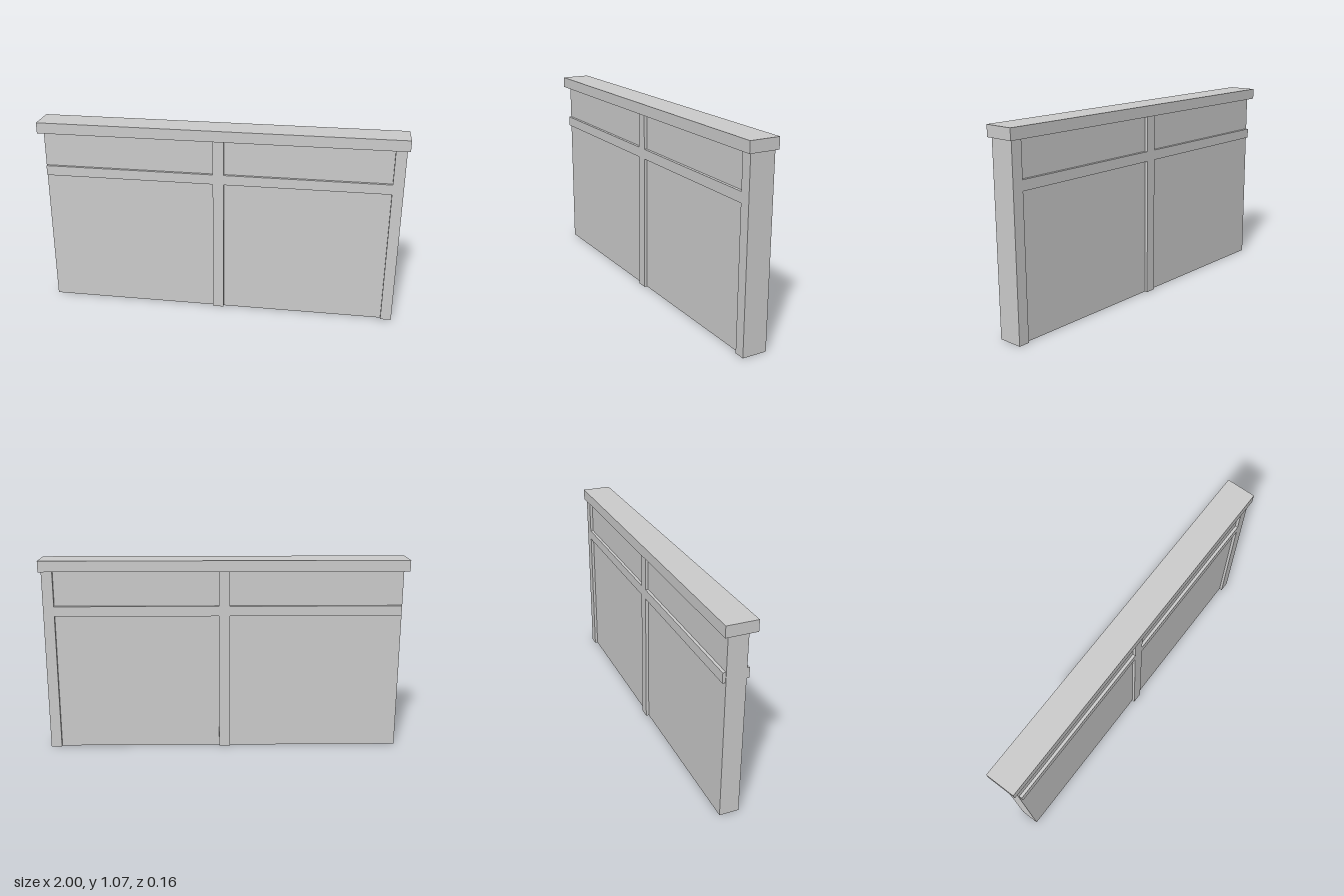
import * as THREE from 'three';

export function createModel() {
  const group = new THREE.Group();
  const material = new THREE.MeshStandardMaterial({ color: 0xcccccc });

  // Box given by its lower and upper limits on each axis
  function addBox(name, [x0, x1], [y0, y1], [z0, z1]) {
    const mesh = new THREE.Mesh(new THREE.BoxGeometry(x1 - x0, y1 - y0, z1 - z0), material);
    mesh.position.set((x0 + x1) / 2, (y0 + y1) / 2, (z0 + z1) / 2);
    mesh.name = name;
    group.add(mesh);
  }

  const wallTop = 1.007;
  const frameDepth = [-0.07, 0.066];

  // Recessed wall panel, open-ended on the right
  addBox('wallPanel', [-0.973, 0.95], [0, wallTop], [-0.054, 0.05]);

  // Upright posts standing proud on both faces
  addBox('centrePost', [-0.03, 0.03], [0, wallTop], frameDepth);
  addBox('endPost', [0.927, 0.986], [0, wallTop], frameDepth);

  // Horizontal rails between the posts, flush with them
  addBox('rightRail', [-0.969, -0.03], [0.76, 0.815], frameDepth);
  addBox('leftRail', [0.03, 0.927], [0.76, 0.815], frameDepth);

  // Overhanging cap
  addBox('cap', [-1, 1], [wallTop, 1.067], [-0.082, 0.082]);

  return group;
}
